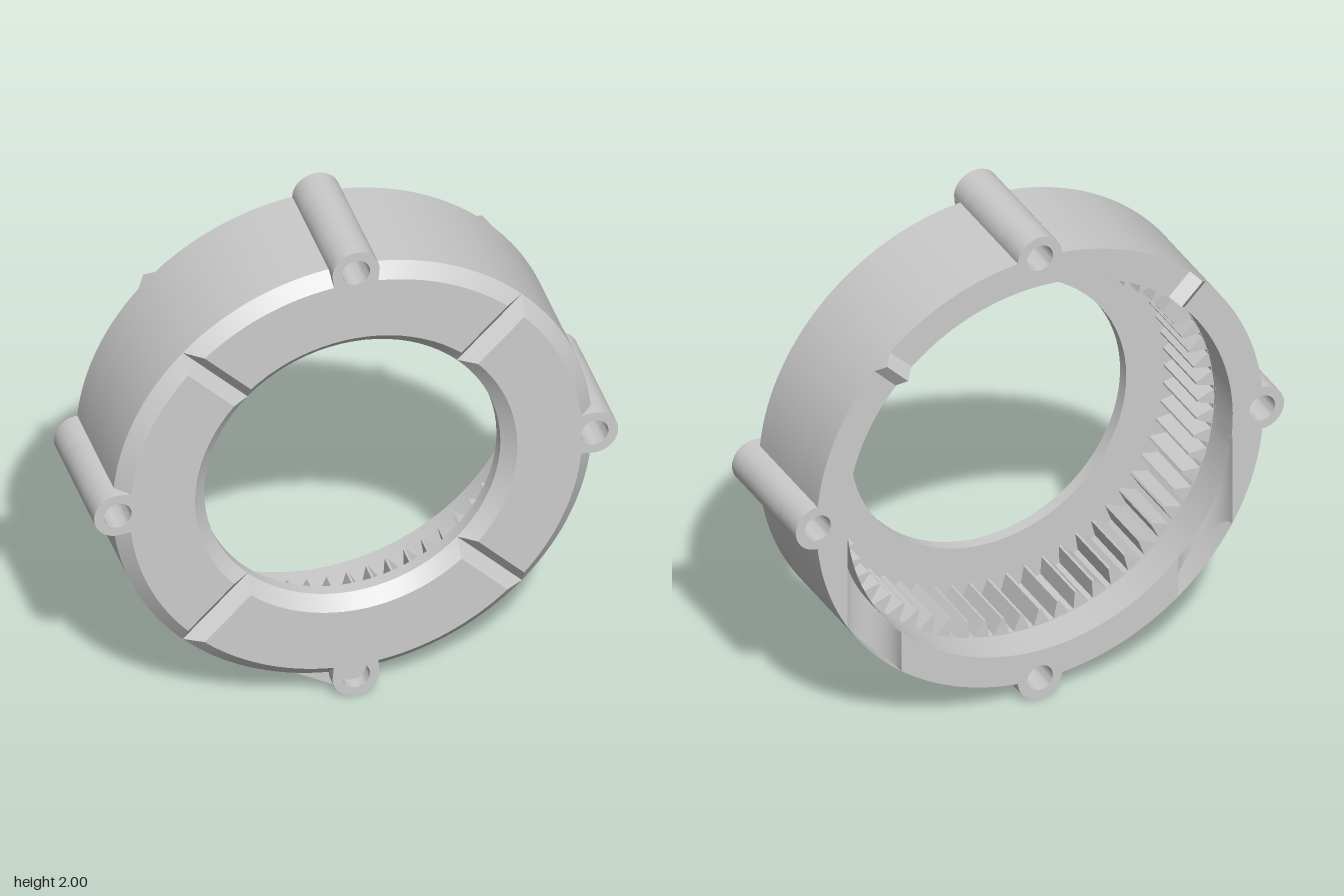
import * as THREE from 'three';
import { toCreasedNormals } from 'three/addons/utils/BufferGeometryUtils.js';

const R = 0.915, BORE = 0.79, EYE = 0.565;          // outer wall, rear bore, front opening
const LUG = 0.91, LUG_R = 0.09, LUG_HOLE = 0.053;   // lug centre distance and radii
const FOOT = Math.acos((R * R + LUG * LUG - LUG_R * LUG_R) / (2 * R * LUG));
const Z = { back: -0.24, step: -0.1, floor: 0.18, bevel: 0.23, front: 0.28 };
const Q = Math.PI / 4, DEG = Math.PI / 180;
const material = new THREE.MeshStandardMaterial({ color: 0xcccccc, side: THREE.DoubleSide });

const polar = (r, a) => new THREE.Vector2(r * Math.cos(a), r * Math.sin(a));

function toMesh(pos, name, crease = 0.45) {
  const g = new THREE.BufferGeometry();
  g.setAttribute('position', new THREE.Float32BufferAttribute(pos, 3));
  const mesh = new THREE.Mesh(toCreasedNormals(g, crease), material);
  mesh.name = name;
  return mesh;
}

// Sector outline around a lug at angle t, from t+a0 to t+a1; gap trims the ends parallel to the groove
function sector(t, ro, ri, a0, a1, gap) {
  const pts = [], n = 20;
  const arc = (r, from, to) => {
    for (let i = 0; i <= n; i++) pts.push(polar(r, t + from + (to - from) * i / n));
  };
  const go = Math.asin(gap / ro), gi = Math.asin(gap / ri);
  arc(ro, a0 + go, -FOOT);
  for (let i = 0; i <= n; i++) {
    const f = FOOT * Math.sin((i / n - 0.5) * Math.PI);
    pts.push(polar(LUG * Math.cos(f) + Math.sqrt(LUG_R ** 2 - (LUG * Math.sin(f)) ** 2), t + f));
  }
  arc(ro, FOOT, a1 - go);
  arc(ri, a1 - gi, a0 + gi);
  return pts;
}

function lugHole(t) {
  const c = polar(LUG, t), pts = [];
  for (let i = 0; i < 32; i++) pts.push(polar(LUG_HOLE, -i / 32 * Math.PI * 2).add(c));
  return pts;
}

// Solid between two matching outlines, with the lug's bolt hole running through
function slab(pos, t, z0, z1, lo, hi, a0 = -Q, a1 = Q) {
  const A = sector(t, lo.ro, lo.ri, a0, a1, lo.gap || 0);
  const B = sector(t, hi.ro, hi.ri, a0, a1, hi.gap || 0);
  const H = lugHole(t);
  const put = (p, z) => pos.push(p.x, p.y, z);
  const walls = (a, b) => a.forEach((p, i) => {
    const j = (i + 1) % a.length;
    put(p, z0); put(a[j], z0); put(b[j], z1);
    put(p, z0); put(b[j], z1); put(b[i], z1);
  });
  const cap = (c, z, flip) => {
    const all = [...c, ...H];
    for (const f of THREE.ShapeUtils.triangulateShape(c, [H])) {
      for (const k of flip ? [f[0], f[2], f[1]] : f) put(all[k], z);
    }
  };
  walls(A, B);
  walls(H, H);
  cap(A, z0, true);
  cap(B, z1, false);
}

// Rear rim between a side lug and the bottom lug, cut by a vertical round channel
function notchedRim(pos, side) {
  const cx = 0.678, cr = 0.11, cols = 110, k = 8;
  const clamp = r => Math.min(R, Math.max(BORE, r));
  const column = a => {
    const c = Math.cos(a), stops = [BORE, clamp((cx - cr) / c), clamp((cx + cr) / c), R];
    const pts = [[BORE, Z.step]];
    for (let s = 0; s < 3; s++) {
      for (let i = 0; i <= k; i++) {
        const u = (1 - Math.cos(i / k * Math.PI)) / 2;
        const r = stops[s] + (stops[s + 1] - stops[s]) * u;
        const cut = s === 1 ? Math.sqrt(Math.max(0, cr * cr - (r * c - cx) ** 2)) : 0;
        pts.push([r, Z.back + cut]);
      }
    }
    pts.push([R, Z.step]);
    return pts.map(([r, z]) => [side * r * c, -r * Math.sin(a), z]);
  };
  const at = i => column((6.5 + 47.5 * i / cols) * DEG);
  for (let i = 0; i < cols; i++) {
    const a = at(i), b = at(i + 1);
    for (let j = 0; j < a.length - 1; j++) {
      const tris = [[a[j], b[j], b[j + 1]], [a[j], b[j + 1], a[j + 1]]];
      for (const [p, q, r] of tris) pos.push(...p, ...(side > 0 ? r : q), ...(side > 0 ? q : r));
    }
  }
}

// Internal gear ring
function gearRing() {
  const count = 60, pitch = Math.PI * 2 / count, hole = new THREE.Path(), pts = [];
  for (let i = 0; i < count; i++) {
    for (const [f, r] of [[-0.38, 0.787], [-0.06, 0.72], [0.06, 0.72], [0.38, 0.787]]) {
      pts.push(polar(r, (i + f) * pitch));
    }
  }
  hole.setFromPoints(pts);
  const shape = new THREE.Shape().absarc(0, 0, 0.8, 0, Math.PI * 2);
  shape.holes.push(hole);
  const g = new THREE.ExtrudeGeometry(shape, { depth: Z.floor + 0.09, bevelEnabled: false, curveSegments: 60 });
  g.translate(0, 0, -0.09);
  const mesh = new THREE.Mesh(g, material);
  mesh.name = 'internalGearTeeth';
  return mesh;
}

// Triangular key lying radially on the rear face
function rearKey(angle) {
  const shape = new THREE.Shape([[-0.045, 0], [0.045, 0], [0, 0.04]].map(p => new THREE.Vector2(...p)));
  const g = new THREE.ExtrudeGeometry(shape, { depth: R - BORE - 0.003, bevelEnabled: false });
  // profile height points to -z, length points along +x
  g.applyMatrix4(new THREE.Matrix4().makeBasis(
    new THREE.Vector3(0, 1, 0), new THREE.Vector3(0, 0, -1), new THREE.Vector3(-1, 0, 0)));
  g.translate(R - 0.001, 0, Z.back);
  g.rotateZ(angle);
  const mesh = new THREE.Mesh(g, material);
  mesh.name = 'rearKey';
  return mesh;
}

export function createModel() {
  const model = new THREE.Group();
  model.name = 'ringGearHousing';
  const body = [], rear = [], plate = [], face = [];
  const wall = { ro: R, ri: BORE }, disc = { ro: R, ri: EYE };
  // rear rim limits: right, top, left and bottom lugs
  const limits = [[-6.5 * DEG, Q], [-Q, Q], [-Q, 6.5 * DEG], [-36 * DEG, 36 * DEG]];
  limits.forEach(([a0, a1], i) => {
    const t = i * Math.PI / 2;
    slab(rear, t, Z.back, Z.step, wall, wall, a0, a1);
    slab(body, t, Z.step, Z.floor, wall, wall);
    slab(plate, t, Z.floor, Z.bevel, disc, disc);
    // bevelled quarter; the sloped ends form the V grooves
    slab(face, t, Z.bevel, Z.front, disc, { ro: 0.863, ri: 0.615, gap: 0.045 });
  });
  notchedRim(rear, 1);
  notchedRim(rear, -1);
  model.add(toMesh(rear, 'rearRim'), toMesh(body, 'outerWall'),
    toMesh(plate, 'frontPlate'), toMesh(face, 'groovedFrontFace'),
    gearRing(), rearKey(Q), rearKey(3 * Q));
  model.children.forEach(m => { m.position.y = 1; });
  return model;
}
